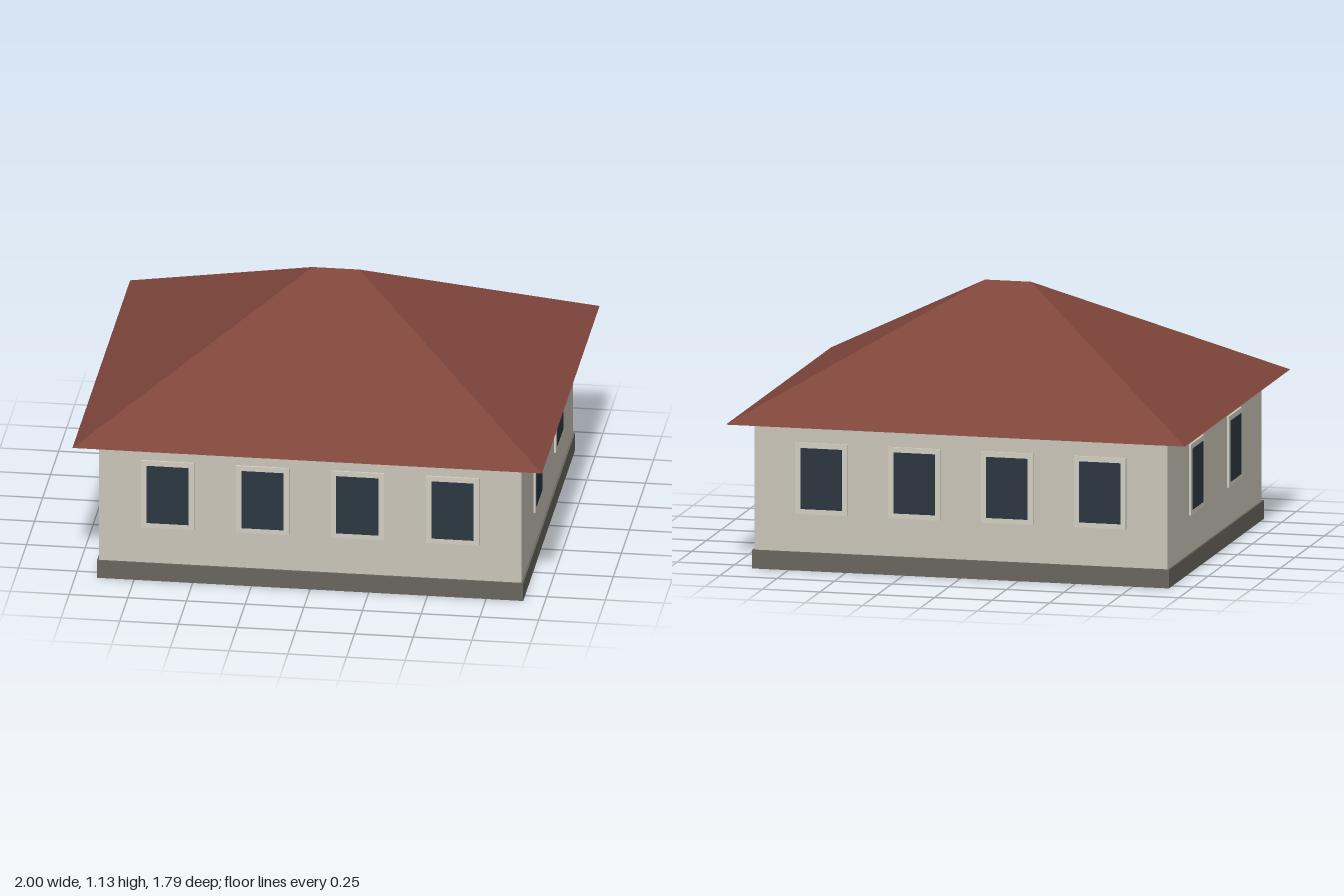
import * as THREE from 'three';

const mat = (color) => new THREE.MeshStandardMaterial({ color, flatShading: true });
const MAT = {
  wall: mat(0xcac5b8),
  plinth: mat(0x69665e),
  frame: mat(0xd2cec2),
  glass: mat(0x2c3741),
  roof: mat(0x7f453b),
};

const HALF_X = 0.9, HALF_Z = 0.8; // outer wall faces
const PLINTH_TOP = 0.08, EAVES = 0.63, RIDGE = 1.13;

// Box with its underside at y
function box(name, w, h, d, y, material) {
  const mesh = new THREE.Mesh(new THREE.BoxGeometry(w, h, d), material);
  mesh.name = name;
  mesh.position.y = y + h / 2;
  return mesh;
}

// Surface frame with a slightly prouder pane, facing +z from the wall plane
function createWindow() {
  const group = new THREE.Group();
  group.name = 'window';
  const frame = box('windowFrame', 0.226, 0.306, 0.018, -0.153, MAT.frame);
  const pane = box('windowPane', 0.18, 0.262, 0.024, -0.131, MAT.glass);
  group.add(frame, pane);
  return group;
}

// Row of windows on one wall, turned to face outwards
function windowRow(name, offsets, distance, angle) {
  const row = new THREE.Group();
  row.name = name;
  for (const x of offsets) {
    const win = createWindow();
    win.position.set(x, 0.397, distance);
    row.add(win);
  }
  row.rotation.y = angle;
  return row;
}

// Hipped roof: four slopes meeting a short ridge, with a flat soffit
function createRoof() {
  const X = 1, Z = 0.897, R = 0.1;
  const positions = [
    -X, EAVES, Z, X, EAVES, Z, X, EAVES, -Z, -X, EAVES, -Z, // eaves corners
    -R, RIDGE, 0, R, RIDGE, 0, // ridge ends
  ];
  const faces = [
    0, 1, 5, 0, 5, 4, // front slope
    1, 2, 5, // left hip
    2, 3, 4, 2, 4, 5, // back slope
    3, 0, 4, // right hip
    0, 3, 2, 0, 2, 1, // soffit
  ];
  const indexed = new THREE.BufferGeometry();
  indexed.setAttribute('position', new THREE.Float32BufferAttribute(positions, 3));
  indexed.setIndex(faces);
  const geometry = indexed.toNonIndexed();
  geometry.computeVertexNormals();
  const roof = new THREE.Mesh(geometry, MAT.roof);
  roof.name = 'roof';
  return roof;
}

export function createModel() {
  const house = new THREE.Group();
  house.name = 'house';

  house.add(
    box('plinth', 2 * HALF_X + 0.016, PLINTH_TOP, 2 * HALF_Z + 0.016, 0, MAT.plinth),
    box('walls', 2 * HALF_X, EAVES - PLINTH_TOP, 2 * HALF_Z, PLINTH_TOP, MAT.wall),
    createRoof(),
  );

  // Four windows on the long walls, two on the short ones
  const long = [-0.607, -0.202, 0.202, 0.607];
  const short = [-0.323, 0.323];
  house.add(
    windowRow('frontWindows', long, HALF_Z, 0),
    windowRow('backWindows', long, HALF_Z, Math.PI),
    windowRow('leftWindows', short, HALF_X, Math.PI / 2),
    windowRow('rightWindows', short, HALF_X, -Math.PI / 2),
  );
  return house;
}
